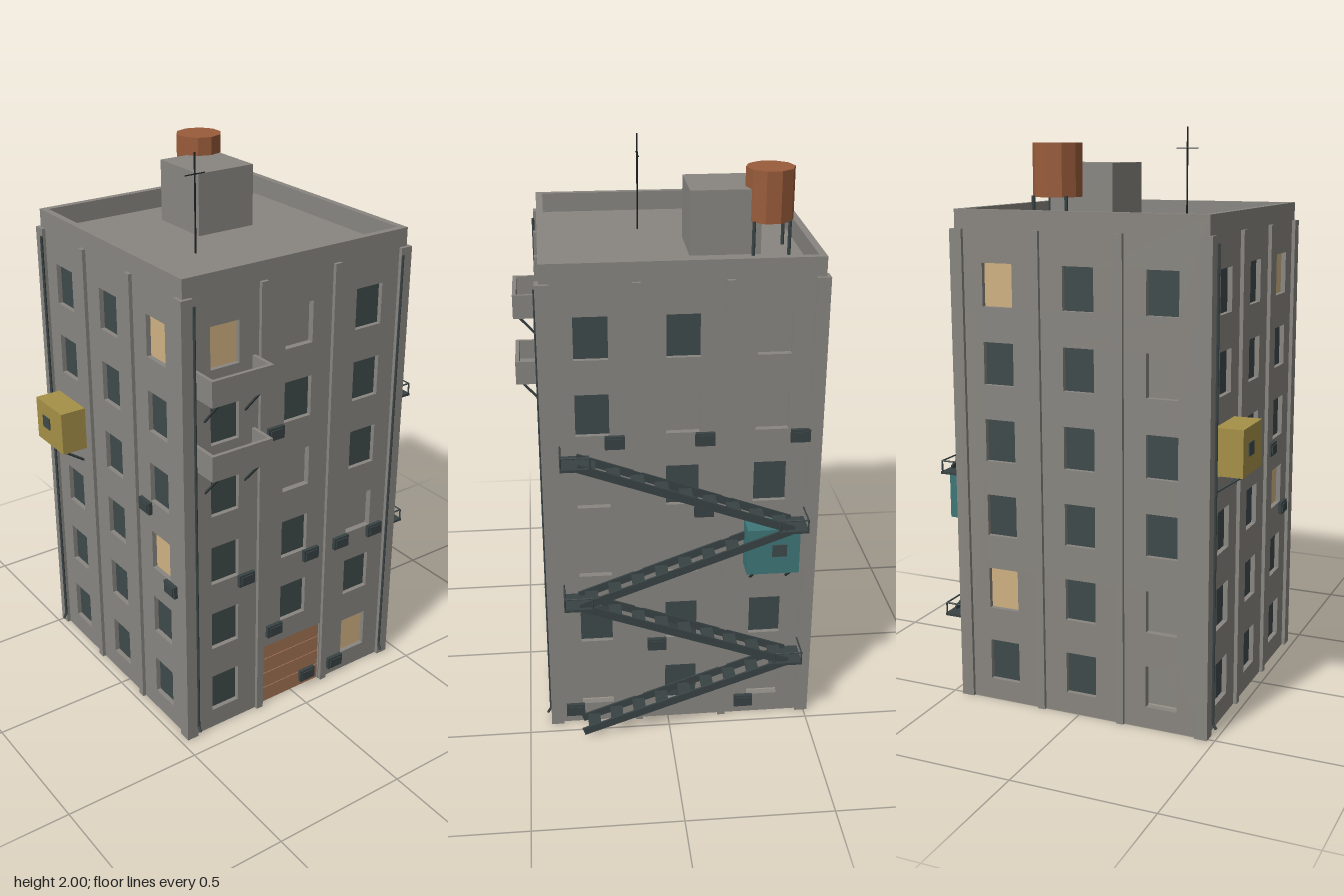
import * as THREE from 'three';

const mat = (name, color) => {
  const m = new THREE.MeshStandardMaterial({ color, flatShading: true });
  m.name = name;
  return m;
};

export function createModel() {
  const concrete = mat('concrete', 0x898681);
  const glass = mat('dark glass', 0x3f4a4b);
  const lit = mat('lit window', 0xd0b283);
  const wood = mat('door wood', 0xa37354);
  const rust = mat('tank rust', 0x9a5c3b);
  const teal = mat('teal paint', 0x3f7778);
  const yellow = mat('yellow paint', 0xa69148);
  const iron = mat('iron', 0x394344);
  const black = mat('black metal', 0x1c2021);

  const model = new THREE.Group();
  model.name = 'apartmentBlock';
  const add = (parent, name, geo, m, x = 0, y = 0, z = 0) => {
    const mesh = new THREE.Mesh(geo, m);
    mesh.name = name;
    mesh.position.set(x, y, z);
    parent.add(mesh);
    return mesh;
  };
  const box = (parent, name, m, w, h, d, x, y, z) =>
    add(parent, name, new THREE.BoxGeometry(w, h, d), m, x, y, z);
  // thin round bar between two points
  const rod = (parent, name, m, a, b, r = 0.004) => {
    const p = new THREE.Vector3(...a), q = new THREE.Vector3(...b), d = q.clone().sub(p);
    const mesh = add(parent, name, new THREE.CylinderGeometry(r, r, d.length(), 6), m);
    mesh.position.copy(p).lerp(q, 0.5);
    mesh.quaternion.setFromUnitVectors(new THREE.Vector3(0, 1, 0), d.normalize());
    return mesh;
  };

  // building shell, centred on its own origin
  const CX = -0.008, CZ = -0.045, HALF = 0.455, T = 0.024, H = 1.73;
  const building = new THREE.Group();
  building.name = 'building';
  building.position.set(CX, 0, CZ);
  model.add(building);
  box(building, 'core', concrete, 0.864, 1.58, 0.864, 0, 0.87, 0);

  const COLS = [-0.297, 0.001, 0.298];
  const rowY = i => 0.148 + 0.2665 * (5 - i);
  const WW = 0.112, WH = 0.147;
  // D dark glass, L lit, G walled up, X door; rows from the top, columns left to right
  const walls = [
    { name: 'frontWall', turn: 0, rows: ['LGD', 'DDD', 'DGD', 'DDG', 'DDD', 'DXL'],
      units: [[-0.095, 1.117], [-0.212, 0.585], [0.073, 0.585], [0.213, 0.585], [0.373, 0.585],
        [-0.085, 0.32], [0.073, 0.055], [0.208, 0.055]] },
    { name: 'leftWall', turn: 1, rows: ['DDG', 'DGG', 'GDD', 'GGD', 'DDD', 'GDG'],
      units: [[-0.225, 1.117], [0.075, 1.117], [0.395, 1.117], [0.075, 0.85], [-0.085, 0.32],
        [-0.38, 0.055], [0.23, 0.055]] },
    { name: 'backWall', turn: 2, rows: ['LDD', 'DDG', 'DDD', 'DDD', 'LDG', 'DDG'], units: [] },
    { name: 'rightWall', turn: 3, rows: ['DDL', 'DDD', 'DDD', 'DDL', 'DDD', 'DDD'],
      units: [[0.215, 0.845], [0.365, 0.585]] },
  ];

  for (const { name, turn, rows, units } of walls) {
    const side = new THREE.Group();
    side.name = name;
    side.rotation.y = turn * Math.PI / 2;
    building.add(side);

    // wall slab with window openings and, on the front, a doorway notch
    const hw = turn % 2 ? HALF - T : HALF;
    const pts = [[-hw, 0]];
    if (turn === 0) pts.push([-0.136, 0], [-0.136, 0.255], [0.134, 0.255], [0.134, 0]);
    pts.push([hw, 0], [hw, H], [-hw, H]);
    const shape = new THREE.Shape(pts.map(p => new THREE.Vector2(...p)));
    rows.forEach((row, i) => [...row].forEach((kind, c) => {
      if (kind === 'X') return;
      const x = COLS[c], y = rowY(i), a = WW / 2, b = WH / 2;
      shape.holes.push(new THREE.Path([[x - a, y - b], [x - a, y + b], [x + a, y + b], [x + a, y - b]]
        .map(p => new THREE.Vector2(...p))));
      if (kind !== 'G') {
        box(side, 'windowPane', kind === 'L' ? lit : glass, WW, WH, 0.006, x, y, 0.435);
      }
    }));
    add(side, 'wallSlab', new THREE.ExtrudeGeometry(shape, { depth: T, bevelEnabled: false }),
      concrete, 0, 0, HALF - T);

    // pilasters and one corner pier per side
    for (const x of [-0.15, 0.15]) box(side, 'pilaster', concrete, 0.027, 1.665, 0.013, x, 0.8325, 0.4615);
    box(side, 'cornerPier', concrete, 0.045, 1.665, 0.045, 0.4455, 0.8325, 0.4455);

    // air conditioners
    for (const [x, y] of units) {
      box(side, 'airConditioner', iron, 0.066, 0.046, 0.014, x, y, 0.462);
      box(side, 'airConditionerGrille', iron, 0.05, 0.032, 0.004, x, y, 0.471);
    }
  }

  // slatted door
  for (let i = 0; i < 4; i++) {
    box(model, 'doorPanel', wood, 0.27, 0.061, 0.012, CX - 0.001, 0.032 + i * 0.064, 0.396);
  }
  box(model, 'doorBacking', wood, 0.27, 0.255, 0.006, CX - 0.001, 0.1275, 0.389);

  // drain pipes with kicked feet
  for (const [x, z, dx, dz] of [[-0.43, 0.424, 0, 0.012], [0.42, 0.424, 0, 0.012], [-0.48, -0.468, -0.012, 0]]) {
    rod(model, 'drainPipe', iron, [x, 0.04, z], [x, 1.64, z], 0.005);
    rod(model, 'drainPipeFoot', iron, [x, 0.045, z], [x + dx, 0.025, z + dz], 0.005);
  }

  // balconies: open trays on slanted brackets
  for (const y of [1.07, 1.33]) {
    const b = new THREE.Group();
    b.name = 'balcony';
    b.position.set(-0.304, y, 0);
    model.add(b);
    box(b, 'balconyFloor', concrete, 0.238, 0.015, 0.1, 0, 0.0075, 0.46);
    box(b, 'balconyFront', concrete, 0.238, 0.09, 0.014, 0, 0.045, 0.503);
    for (const s of [-1, 1]) {
      box(b, 'balconySide', concrete, 0.012, 0.09, 0.1, s * 0.113, 0.045, 0.46);
      rod(b, 'balconyBracket', iron, [s * 0.08, 0, 0.495], [s * 0.08, -0.095, 0.41], 0.005);
    }
  }

  // cabins hung on the side walls
  const cabin = (name, m, s, wallX, y, z, w, h, d) => {
    const g = new THREE.Group();
    g.name = name;
    model.add(g);
    box(g, 'cabinBody', m, w, h, d, wallX + s * w / 2, y, z);
    box(g, 'cabinWindow', glass, 0.006, 0.045, 0.05, wallX + s * (w + 0.001), y + 0.005, z - 0.02);
    for (const k of [-1, 1]) {
      rod(g, 'cabinBracket', iron, [wallX + s * (w - 0.01), y - h / 2, z + k * d * 0.35],
        [wallX, y - h / 2 - 0.06, z + k * d * 0.35], 0.005);
    }
  };
  cabin('yellowCabin', yellow, -1, -0.463, 0.97, -0.34, 0.097, 0.16, 0.19);
  cabin('tealCabin', teal, 1, 0.447, 0.72, -0.35, 0.085, 0.17, 0.18);

  // fire escape: zigzag flights with treads
  const escape = new THREE.Group();
  escape.name = 'fireEscape';
  model.add(escape);
  const levels = [0.02, 0.275, 0.54, 0.805, 1.07];
  const endZ = i => (i % 2 ? -0.415 : 0.31);
  for (let i = 0; i < 4; i++) {
    const y0 = levels[i], y1 = levels[i + 1], z0 = endZ(i), z1 = endZ(i + 1);
    const dy = y1 - y0, dz = z1 - z0;
    for (const x of [0.458, 0.537]) {
      const s = box(escape, 'stringer', iron, 0.007, 0.028, Math.hypot(dy, dz), x, (y0 + y1) / 2, (z0 + z1) / 2);
      s.rotation.x = -Math.atan2(dy, dz);
    }
    for (let k = 0; k < 9; k++) {
      const t = (k + 0.5) / 9;
      box(escape, 'tread', iron, 0.085, 0.007, 0.044, 0.498, y0 + dy * t, z0 + dz * t);
    }
  }
  // landings with low rails
  for (let i = 1; i < 5; i++) {
    const y = levels[i] - 0.003, z = i % 2 ? -0.415 : 0.315, x = 0.548;
    box(escape, 'landing', iron, 0.105, 0.009, 0.1, 0.5, y, z);
    const a = z - 0.047, b = z + 0.047, out = i % 2 ? a : b;
    for (const p of [a, b]) rod(escape, 'railPost', iron, [x, y, p], [x, y + 0.043, p], 0.003);
    rod(escape, 'railTop', iron, [x, y + 0.043, a], [x, y + 0.043, b], 0.003);
    rod(escape, 'railEnd', iron, [0.455, y + 0.043, out], [x, y + 0.043, out], 0.003);
  }

  // roof: stair house, water tank and aerial
  box(model, 'stairHouse', concrete, 0.23, 0.225, 0.24, 0.055, 1.7675, -0.215);
  add(model, 'waterTank', new THREE.CylinderGeometry(0.083, 0.083, 0.175, 10), rust, 0.125, 1.8575, -0.367);
  for (const sx of [-1, 1]) for (const sz of [-1, 1]) {
    const x = 0.125 + sx * 0.06, z = -0.367 + sz * 0.06;
    rod(model, 'tankLeg', iron, [x, 1.655, z], [x, 1.775, z], 0.006);
  }
  rod(model, 'aerialMast', black, [-0.173, 1.655, 0.052], [-0.173, 2, 0.052], 0.003);
  rod(model, 'aerialCrossbar', black, [-0.213, 1.928, 0.053], [-0.132, 1.928, 0.05], 0.002);

  return model;
}
